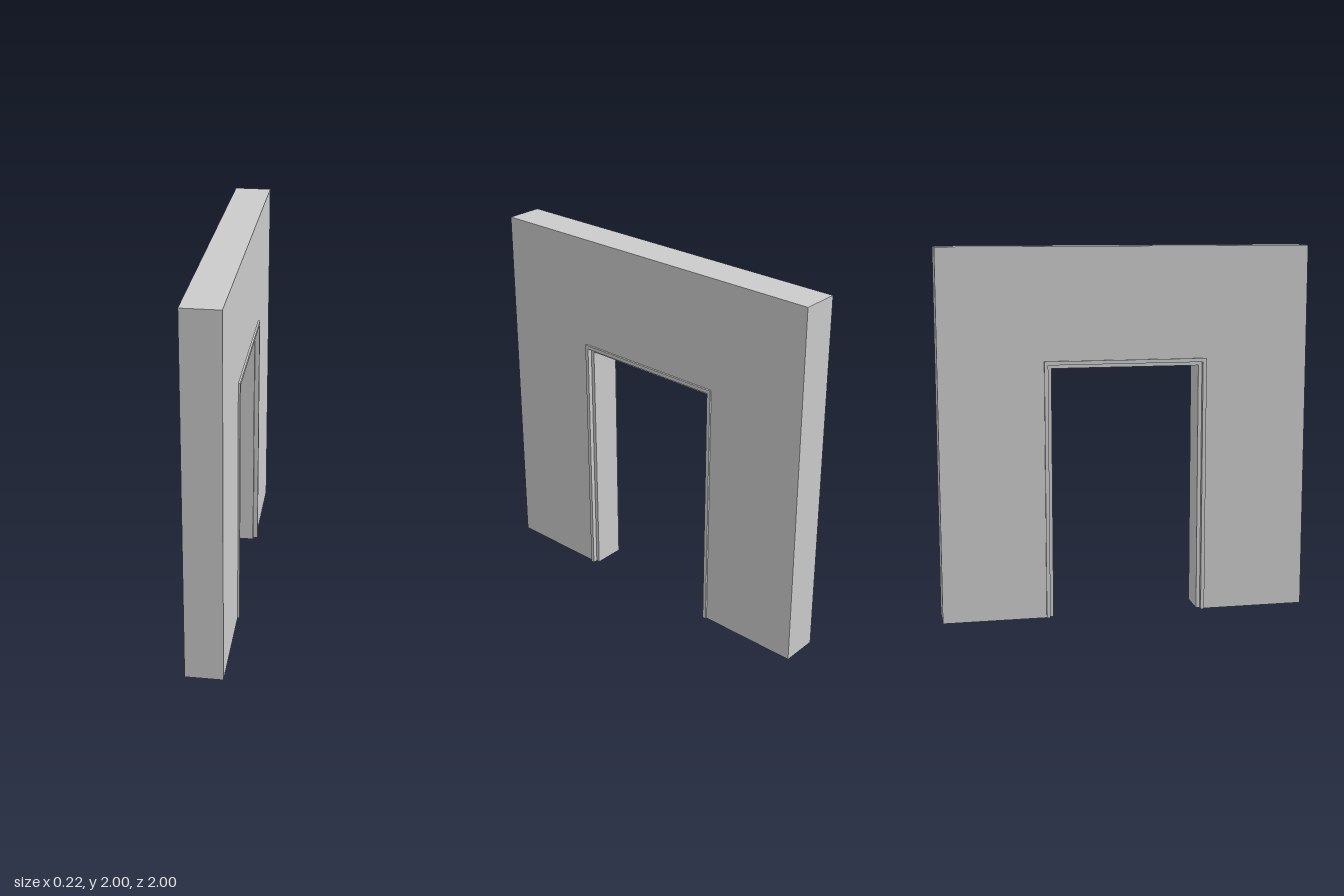
import * as THREE from 'three';

const material = new THREE.MeshStandardMaterial({ color: 0xcccccc });

// Upside-down U, drawn in the z-y plane and extruded across the wall thickness
function portal(name, outerHalf, outerTop, innerHalf, innerTop, thickness) {
  const shape = new THREE.Shape([
    [-outerHalf, 0], [-innerHalf, 0], [-innerHalf, innerTop], [innerHalf, innerTop],
    [innerHalf, 0], [outerHalf, 0], [outerHalf, outerTop], [-outerHalf, outerTop],
  ].map(([z, y]) => new THREE.Vector2(z, y)));
  const geometry = new THREE.ExtrudeGeometry(shape, { depth: thickness, bevelEnabled: false });
  geometry.translate(0, 0, -thickness / 2).rotateY(-Math.PI / 2);
  const mesh = new THREE.Mesh(geometry, material);
  mesh.name = name;
  return mesh;
}

export function createModel() {
  const model = new THREE.Group();
  model.name = 'wallWithDoorway';
  model.add(
    // Wall with the door opening
    portal('wall', 1, 2, 0.44, 1.4, 0.2),
    // Outer trim, proud of both wall faces
    portal('frameTrim', 0.44, 1.4, 0.42, 1.38, 0.22),
    // Inner lining, set back from the trim
    portal('frameLining', 0.42, 1.38, 0.4, 1.36, 0.17),
  );
  return model;
}
